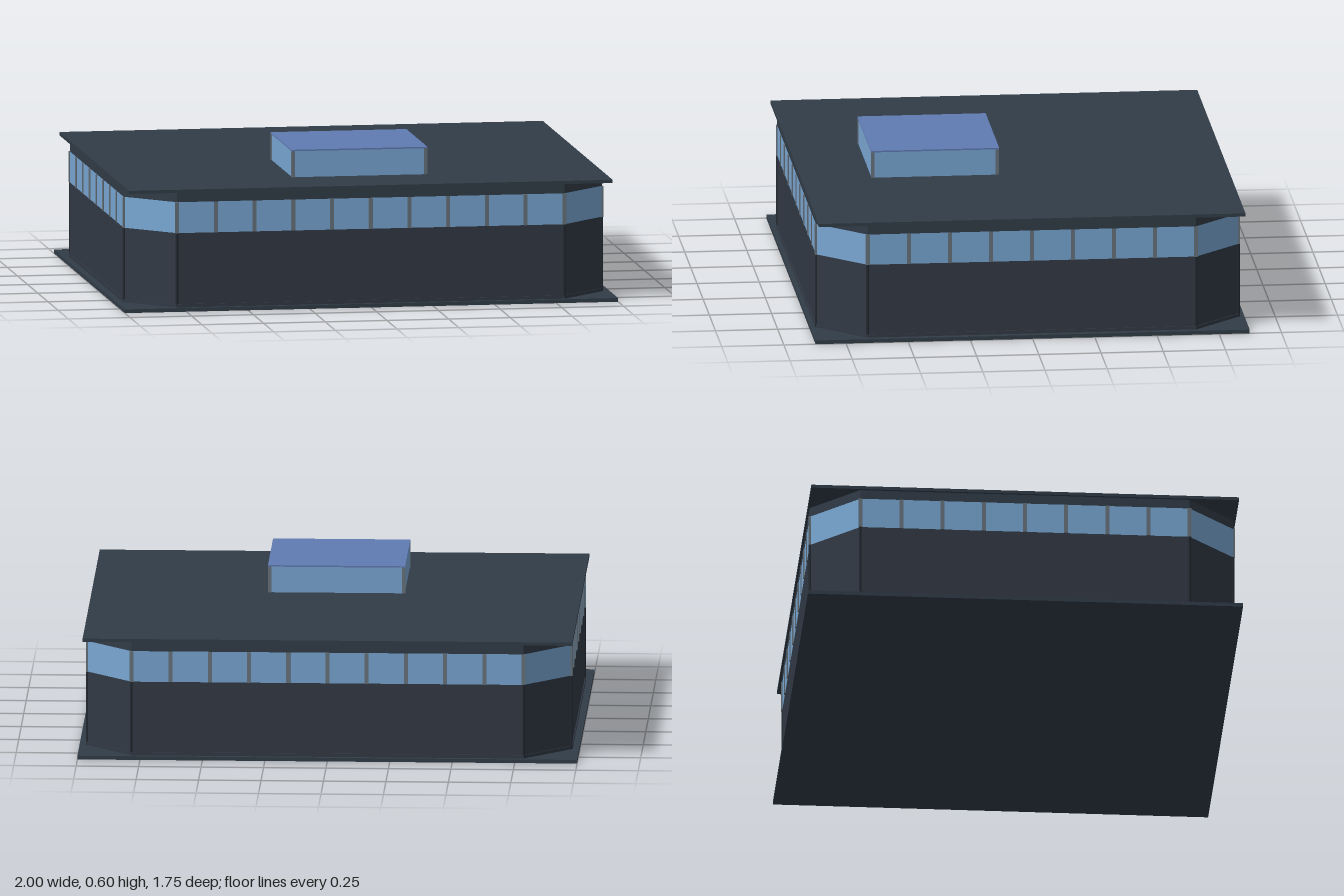
import * as THREE from 'three';

const mat = (name, color) => {
  const m = new THREE.MeshStandardMaterial({ color });
  m.name = name;
  return m;
};

export function createModel() {
  const wall = mat('dark wall', 0x323945);
  const slate = mat('slate roof', 0x313c47);
  const trim = mat('dark trim', 0x242a32);
  const glass = mat('blue glass', 0x79a7d3);
  const topGlass = mat('skylight blue', 0x607bb3);
  const frame = mat('grey frame', 0x68737d);

  const model = new THREE.Group();
  model.name = 'pavilion';

  const add = (name, geo, material, x = 0, y = 0, z = 0) => {
    const mesh = new THREE.Mesh(geo, material);
    mesh.name = name;
    mesh.position.set(x, y, z);
    model.add(mesh);
    return mesh;
  };
  // box given by its bottom and top heights
  const slab = (name, w, d, y0, y1, material, x = 0, z = 0) =>
    add(name, new THREE.BoxGeometry(w, y1 - y0, d), material, x, (y0 + y1) / 2, z);

  // body plan: rectangle with cut corners
  const HX = 0.97, HZ = 0.85, CX = 0.785, CZ = 0.66;
  const ring = (name, y0, y1, material, grow = 0) => {
    const a = HX + grow, b = HZ + grow, c = CX + grow * 0.4, d = CZ + grow * 0.4;
    const shape = new THREE.Shape([
      [c, -b], [a, -d], [a, d], [c, b], [-c, b], [-a, d], [-a, -d], [-c, -b],
    ].map(([x, y]) => new THREE.Vector2(x, y)));
    const geo = new THREE.ExtrudeGeometry(shape, { depth: y1 - y0, bevelEnabled: false });
    geo.rotateX(-Math.PI / 2);
    add(name, geo, material, 0, y0, 0);
  };

  slab('basePlate', 2, 1.745, 0, 0.015, slate);
  ring('plinth', 0.015, 0.028, wall, 0.004);
  ring('lowerWall', 0.028, 0.315, wall);
  ring('windowBand', 0.315, 0.44, glass);
  ring('fascia', 0.44, 0.48, slate);
  slab('roofPlate', 1.96, 1.715, 0.478, 0.491, slate);

  // window mullions on all four sides
  for (const s of [-1, 1]) {
    for (let i = 0; i <= 10; i++) {
      slab('mullion', 0.016, 0.008, 0.315, 0.44, frame, -CX + (2 * CX * i) / 10, s * HZ);
    }
    for (let i = 0; i <= 8; i++) {
      slab('mullion', 0.008, 0.016, 0.315, 0.44, frame, s * HX, -CZ + (2 * CZ * i) / 8);
    }
  }

  // slim trims where the walls meet the cut corners
  for (const sx of [-1, 1]) {
    for (const sz of [-1, 1]) {
      for (const [x, z] of [[CX, HZ - 0.002], [HX - 0.002, CZ]]) {
        const post = new THREE.CylinderGeometry(0.006, 0.006, 0.3, 8);
        add('cornerTrim', post, trim, sx * x, 0.165, sz * z);
      }
    }
  }

  // rooftop skylight with framed corners
  const SW = 0.55, SD = 0.515, SZ = 0.32;
  slab('skylightGlass', SW - 0.004, SD - 0.004, 0.491, 0.596, glass, 0, SZ);
  slab('skylightTop', SW, SD, 0.596, 0.602, topGlass, 0, SZ);
  for (const sx of [-1, 1]) {
    for (const sz of [-1, 1]) {
      slab('skylightPost', 0.014, 0.014, 0.491, 0.596, frame,
        sx * (SW / 2 - 0.007), SZ + sz * (SD / 2 - 0.007));
    }
  }
  return model;
}
